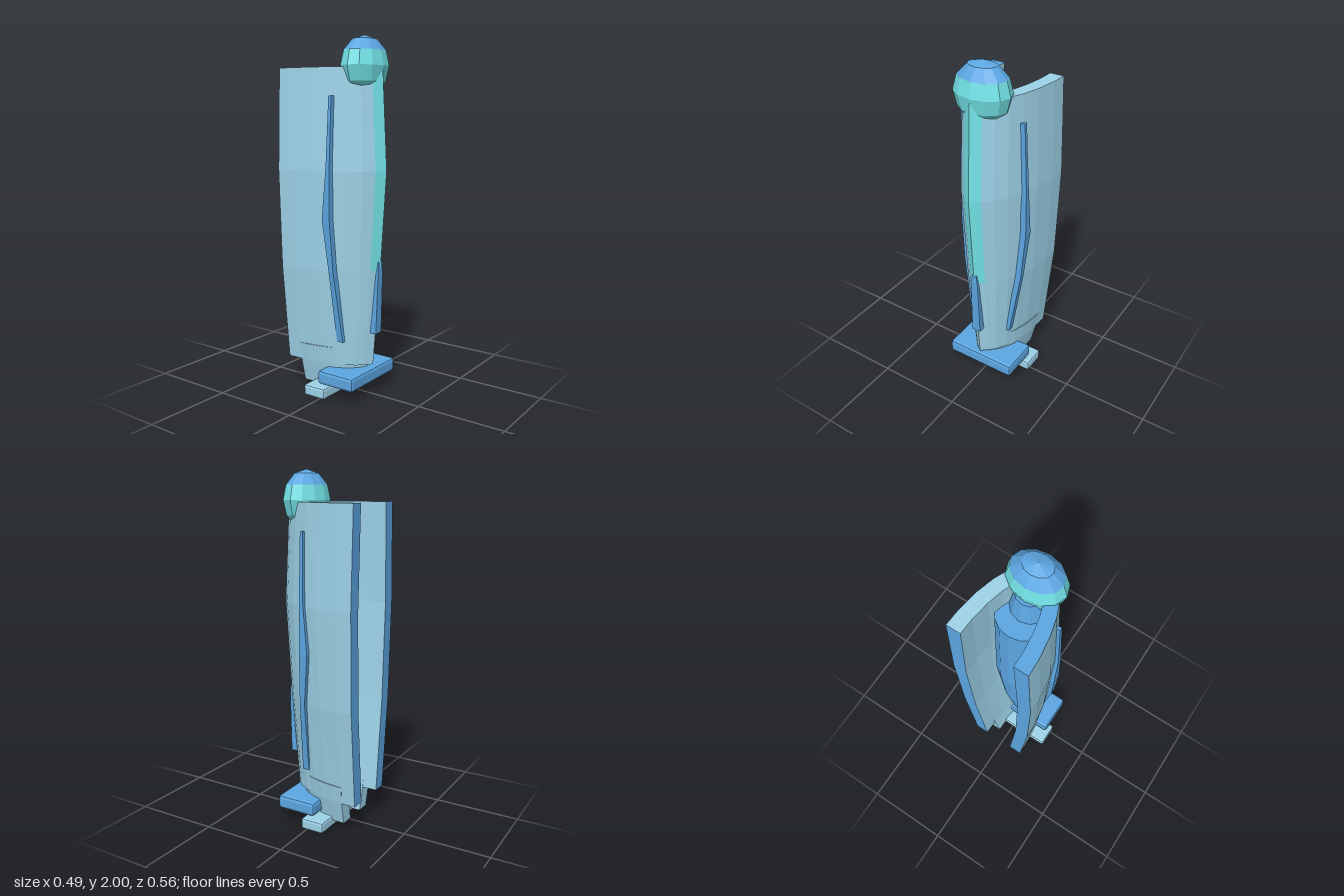
import * as THREE from 'three';
import { RoundedBoxGeometry } from 'three/addons/geometries/RoundedBoxGeometry.js';

const mat = (color) => new THREE.MeshStandardMaterial({ color, flatShading: true });
const BLUE = mat(0x5ca6e2), LIGHT = mat(0x9dd2e8), TEAL = mat(0x72e2e6);

function add(group, name, geometry, material, x = 0, y = 0, z = 0) {
  const mesh = new THREE.Mesh(geometry, material);
  mesh.name = name;
  mesh.position.set(x, y, z);
  group.add(mesh);
  return mesh;
}

// Half profiles [x, z] from the back end to the centre front
const OUTER = [[0.24, -0.275], [0.235, -0.18], [0.215, -0.05], [0.187, 0.05], [0.15, 0.135], [0.105, 0.2], [0.055, 0.245], [0, 0.28]];
const INNER = [[0.16, -0.275], [0.156, -0.18], [0.14, -0.07], [0.116, 0.02], [0.09, 0.08], [0.06, 0.12], [0.03, 0.14], [0, 0.15]];

// Horseshoe ring: outer wall from +x round to -x, then the inner wall back again
function ring({ y, half, front, back }) {
  const place = (width) => ([x, z]) => new THREE.Vector3(
    x * (half - 0.24 + width) / width, y, back + (z + 0.275) * (front - back) / 0.555);
  const full = (pts) => [...pts, ...pts.slice(0, -1).reverse().map((p) => new THREE.Vector3(-p.x, p.y, p.z))];
  return [...full(OUTER.map(place(0.24))), ...full(INNER.map(place(0.16))).reverse()];
}

// Curved shell lofted through the rows; pick(part, column, row) chooses the material
function shell(name, rows, pick) {
  const group = new THREE.Group();
  group.name = name;
  const rings = rows.map(ring);
  const count = rings[0].length, wall = count / 2;
  const faces = new Map();
  const quad = (material, a, b, c, d) => {
    if (!faces.has(material)) faces.set(material, []);
    faces.get(material).push(a, b, c, a, c, d);
  };
  for (let i = 0; i < rings.length - 1; i++) {
    for (let j = 0; j < count; j++) {
      const k = (j + 1) % count;
      const part = j === wall - 1 || j === count - 1 ? 'end' : 'wall';
      quad(pick(part, j, i), rings[i][j], rings[i + 1][j], rings[i + 1][k], rings[i][k]);
    }
  }
  const low = rings[0], high = rings[rings.length - 1];
  for (let j = 0; j < wall - 1; j++) {
    const a = count - 1 - j, b = a - 1;
    quad(pick('bottom', j), low[j], low[j + 1], low[b], low[a]);
    quad(pick('top', j), high[j], high[a], high[b], high[j + 1]);
  }
  for (const [material, points] of faces) {
    const geometry = new THREE.BufferGeometry().setFromPoints(points);
    geometry.computeVertexNormals();
    const part = material === TEAL ? 'Ridge' : material === BLUE ? 'Edges' : 'Walls';
    add(group, name + part, geometry, material);
  }
  return group;
}

// Thin bar whose rows [y, x, z, width, depth] go from bottom to top
function strip(rows) {
  const n = rows.length - 1;
  const geometry = new THREE.BoxGeometry(1, 1, 1, 1, n, 1);
  const p = geometry.attributes.position;
  for (let i = 0; i < p.count; i++) {
    const [y, x, z, w, d] = rows[Math.round((p.getY(i) + 0.5) * n)];
    p.setXYZ(i, x + p.getX(i) * w, y, z + p.getZ(i) * d);
  }
  geometry.computeVertexNormals();
  return geometry;
}

export function createModel() {
  const model = new THREE.Group();
  model.name = 'model';

  // Tall wrapped shell with a ridge down the front
  model.add(shell('wingShell', [
    { y: 0.18, half: 0.17, front: 0.2, back: -0.273 },
    { y: 0.73, half: 0.222, front: 0.245, back: -0.275 },
    { y: 1.28, half: 0.24, front: 0.28, back: -0.277 },
    { y: 1.83, half: 0.222, front: 0.25, back: -0.277 },
  ], (part, j, i) => {
    if (part === 'end') return BLUE;
    if (part === 'top') return j < 7 ? LIGHT : BLUE;
    return part === 'wall' && i > 0 && (j === 6 || j === 7) ? TEAL : LIGHT;
  }));

  // Short shell around the lower end
  model.add(shell('tailShell', [
    { y: 0.045, half: 0.135, front: 0.145, back: -0.185 },
    { y: 0.18, half: 0.165, front: 0.16, back: -0.187 },
    { y: 0.28, half: 0.178, front: 0.17, back: -0.19 },
  ], () => LIGHT));

  // Inner body with a flat top
  const profile = [[0, 0.24], [0.075, 0.24], [0.13, 0.6], [0.162, 1.0], [0.15, 1.66], [0, 1.66]]
    .map(([r, y]) => new THREE.Vector2(r, y));
  add(model, 'body', new THREE.LatheGeometry(profile, 16), BLUE, 0, 0, 0.035);

  // Neck and faceted head, with a blue crown over teal
  add(model, 'neck', new THREE.CylinderGeometry(0.08, 0.11, 0.16, 12), BLUE, 0, 1.72, 0.085);
  const headPart = (from, to) =>
    new THREE.SphereGeometry(0.162, 12, to - from, Math.PI / 2, Math.PI * 2, from * Math.PI / 6, (to - from) * Math.PI / 6);
  add(model, 'headCrown', headPart(0, 2), BLUE, 0, 1.838, 0.135).scale.z = 0.74;
  add(model, 'headLower', headPart(2, 5), TEAL, 0, 1.838, 0.135).scale.z = 0.74;
  const chin = add(model, 'chin', new THREE.CircleGeometry(0.081, 12), TEAL, 0, 1.698, 0.135);
  chin.rotation.x = Math.PI / 2;
  chin.scale.y = 0.74;

  // Mirrored side strips and the front strip
  for (const [side, name] of [[1, 'leftStrip'], [-1, 'rightStrip']]) {
    add(model, name, strip([
      [0.32, side * 0.12, 0.066, 0.03, 0.04],
      [0.73, side * 0.178, 0.05, 0.035, 0.03],
      [1.02, side * 0.198, 0.03, 0.035, 0.05],
      [1.3, side * 0.195, 0.042, 0.035, 0.024],
      [1.68, side * 0.18, 0.046, 0.03, 0.018],
    ]), BLUE);
  }
  add(model, 'frontStrip', strip([
    [0.37, 0, 0.21, 0.054, 0.05],
    [0.7, 0, 0.22, 0.045, 0.05],
    [0.78, 0, 0.225, 0.03, 0.04],
  ]), BLUE);

  // Bevelled bars at the base
  add(model, 'frontBar', new RoundedBoxGeometry(0.436, 0.08, 0.24, 1, 0.018), BLUE, 0, 0.118, 0.088);
  add(model, 'rearBar', new RoundedBoxGeometry(0.49, 0.064, 0.142, 1, 0.014), LIGHT, 0, 0.036, -0.037);

  return model;
}
